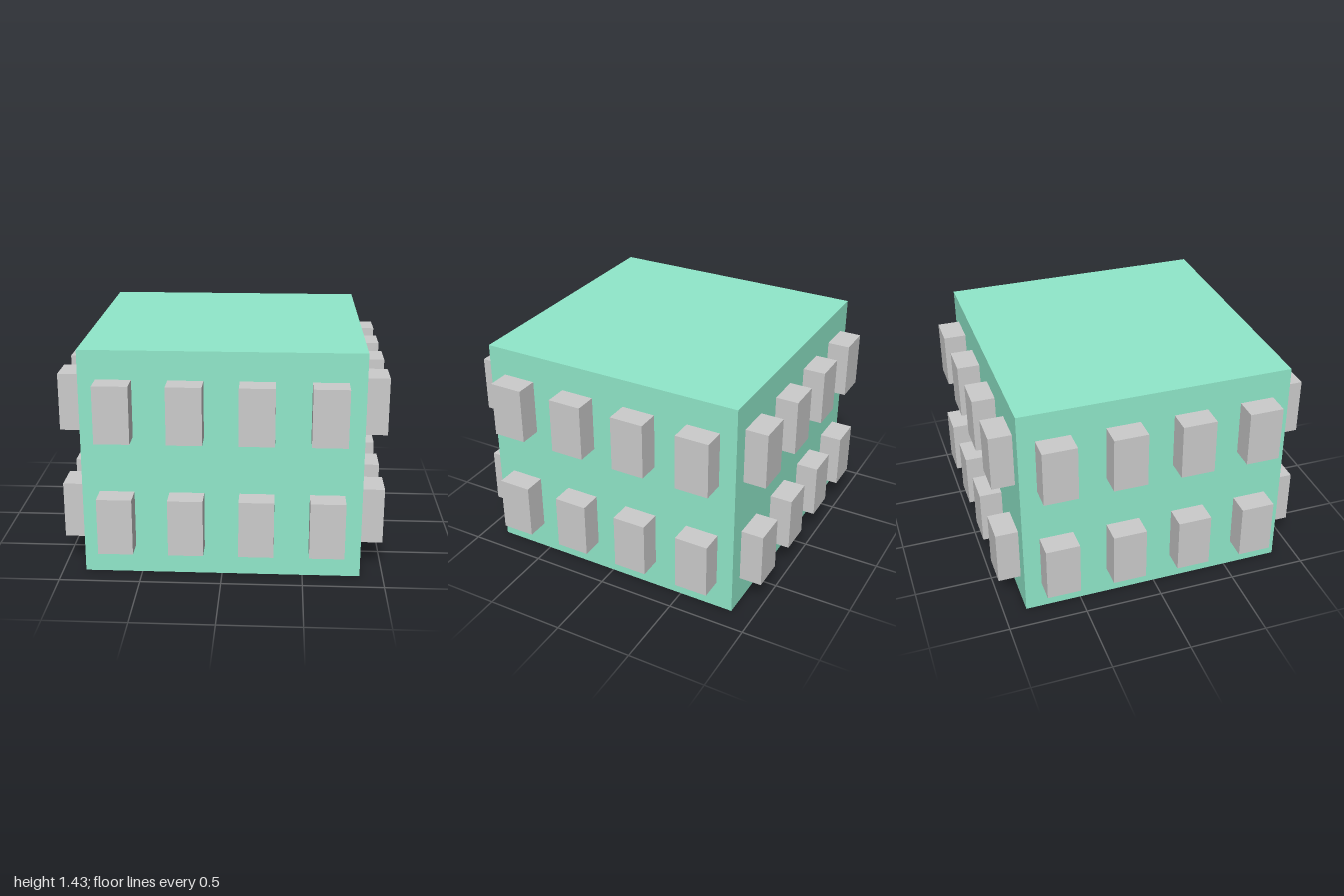
import * as THREE from 'three';

const HALF = 0.857;    // half width of the building
const HEIGHT = 1.43;
const WINDOW = { width: 0.214, height: 0.356, depth: 0.286 };
const COLUMNS = [-0.643, -0.214, 0.214, 0.643];
const ROWS = [0.361, 1.073];

export function createModel() {
  const model = new THREE.Group();
  model.name = 'building';

  const wallMaterial = new THREE.MeshStandardMaterial({ color: 0x90e8ca });
  const windowMaterial = new THREE.MeshStandardMaterial({ color: 0xcccccc });

  // Main block
  const body = new THREE.Mesh(new THREE.BoxGeometry(HALF * 2, HEIGHT, HALF * 2), wallMaterial);
  body.name = 'body';
  body.position.y = HEIGHT / 2;
  model.add(body);

  // Two rows of four protruding windows on every side, half sunk into the wall
  const windowGeometry = new THREE.BoxGeometry(WINDOW.width, WINDOW.height, WINDOW.depth);
  ['front', 'left', 'back', 'right'].forEach((side, i) => {
    const wall = new THREE.Group();
    wall.name = `${side}Windows`;
    wall.rotation.y = i * Math.PI / 2;
    for (const y of ROWS) {
      for (const x of COLUMNS) {
        const pane = new THREE.Mesh(windowGeometry, windowMaterial);
        pane.name = 'window';
        pane.position.set(x, y, HALF);
        wall.add(pane);
      }
    }
    model.add(wall);
  });

  return model;
}
